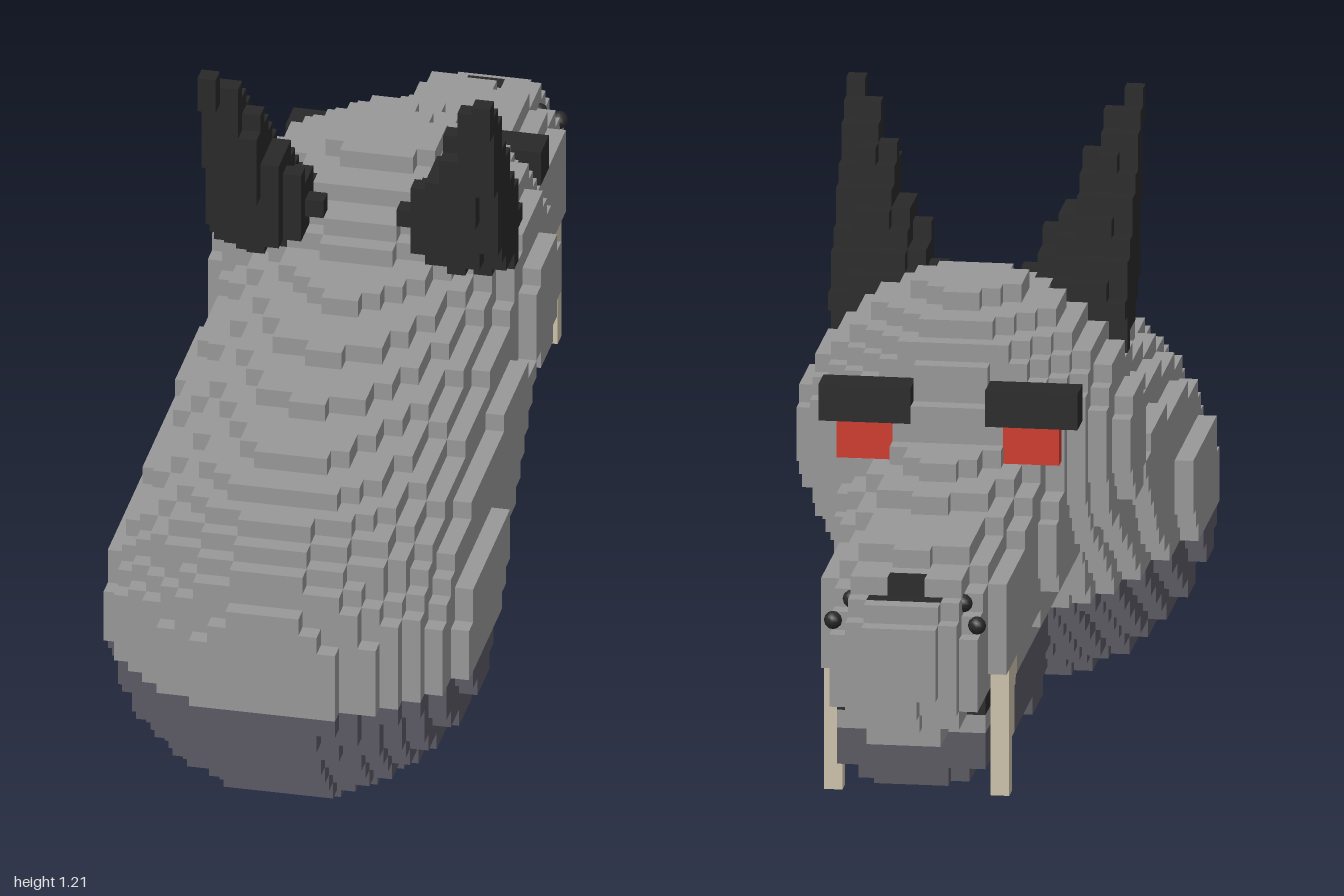
import * as THREE from 'three';

const V = 1 / 29; // voxel size
const mat = (name, color) => Object.assign(new THREE.MeshStandardMaterial({ color }), { name });

// Snout outline: z, bottom, top, half width
const SNOUT = [
  [-0.034, 0.29, 0.60, 0.185], [-0.20, 0.30, 0.69, 0.20], [-0.25, 0.30, 0.70, 0.21],
  [-0.35, 0.30, 0.70, 0.20], [-0.39, 0.30, 0.69, 0.185], [-0.55, 0.30, 0.66, 0.183],
  [-0.57, 0.30, 0.64, 0.182], [-0.79, 0.30, 0.62, 0.18], [-0.81, 0.27, 0.61, 0.15],
  [-0.89, 0.27, 0.592, 0.146], [-0.90, 0.27, 0.566, 0.146], [-0.95, 0.32, 0.555, 0.112],
  [-1.00, 0.37, 0.50, 0.072],
];

// Lower jaw outline in the same order
const JAW = [
  [0.00, 0.18, 0.31, 0.15], [-0.034, 0.16, 0.32, 0.15], [-0.036, 0.14, 0.38, 0.152],
  [-0.10, 0.09, 0.38, 0.152], [-0.20, 0.09, 0.38, 0.152], [-0.21, 0.13, 0.38, 0.152],
  [-0.55, 0.13, 0.38, 0.152], [-0.57, 0.165, 0.38, 0.152], [-0.79, 0.165, 0.38, 0.148],
  [-0.83, 0.20, 0.37, 0.14],
];

// Inside a row of rounded cross-sections
function inSections(rows, x, y, z) {
  for (let i = 0; i < rows.length - 1; i++) {
    const a = rows[i], b = rows[i + 1];
    if (z > a[0] || z < b[0]) continue;
    const t = (z - a[0]) / (b[0] - a[0]);
    const [, lo, hi, w] = a.map((n, k) => n + (b[k] - n) * t);
    return Math.abs(x / w) ** 2.2 + Math.abs((2 * y - lo - hi) / (hi - lo)) ** 2.2 < 1;
  }
  return false;
}

// Thick rounded neck that tapers up to the skull
function inNeck(x, y, z) {
  if (z < 0) return false;
  const dy = 0.23, dz = -0.66;
  let t = ((y - 0.337) * dy + (z - 0.664) * dz) / (dy * dy + dz * dz);
  t = Math.min(1, Math.max(0, t));
  return Math.hypot(x, y - 0.337 - dy * t, z - 0.664 - dz * t) < 0.35 - 0.065 * t;
}

// Skull, leaning slightly forward
const inSkull = (x, y, z) =>
  Math.hypot(x / 0.312, (y - 0.63) / 0.3, (z + 0.03 + 0.13 * (y - 0.63)) / 0.315) < 1;

// Ear leaning outward and back, narrowing to a tip and to its root
function inEar(x, y, z) {
  const t = (y - 0.76) / 0.445;
  if (t < 0 || t > 1 || x > 0.276) return false;
  const r = Math.min(0.122 * (1 - t) + 0.018, 0.04 + t * 0.34);
  const cx = 0.165 + 0.1 * t + Math.max(0, 0.25 - t) * 0.2;
  return Math.hypot(x - cx, z - 0.09 - 0.2 * t) < r;
}

// Visible faces of all voxels belonging to one part
function voxelGeometry(grid, part) {
  const pos = [], nor = [], idx = [];
  for (const [key, name] of grid) {
    if (name !== part) continue;
    const c = key.split(',').map(Number);
    for (let axis = 0; axis < 3; axis++) for (const s of [-1, 1]) {
      const n = [0, 0, 0];
      n[axis] = s;
      if (grid.has(c.map((q, k) => q + n[k]).join())) continue;
      const u = (axis + 1) % 3, w = (axis + 2) % 3, base = pos.length / 3;
      for (const [a, b] of [[0, 0], [1, 0], [1, 1], [0, 1]]) {
        const p = [...c];
        p[axis] += s > 0 ? 1 : 0;
        p[u] += a;
        p[w] += b;
        pos.push(...p.map((q) => q * V));
        nor.push(...n);
      }
      const f = s > 0 ? [0, 1, 2, 0, 2, 3] : [0, 2, 1, 0, 3, 2];
      idx.push(...f.map((q) => q + base));
    }
  }
  const g = new THREE.BufferGeometry();
  g.setAttribute('position', new THREE.Float32BufferAttribute(pos, 3));
  g.setAttribute('normal', new THREE.Float32BufferAttribute(nor, 3));
  g.setIndex(idx);
  return g;
}

export function createModel() {
  const group = new THREE.Group();
  group.name = 'wolfHead';
  const fur = mat('greyFur', 0x989898), under = mat('darkUnderside', 0x5b5962);
  const black = mat('black', 0x292929), red = mat('eyeRed', 0xcf3a2c);
  const bone = mat('bone', 0xcdc2ab), pale = mat('paleTooth', 0xcfcaba);

  // Fill one half of the grid and mirror it
  const grid = new Map();
  const set = (i, j, k, part) => {
    grid.set([i, j, k].join(), part);
    grid.set([-1 - i, j, k].join(), part);
  };
  for (let i = 0; i < 10; i++) for (let j = 0; j < 35; j++) for (let k = -29; k < 29; k++) {
    const p = [i, j, k].map((q) => (q + 0.5) * V);
    if (inNeck(...p) || inSkull(...p) || inSections(SNOUT, ...p) || inSections(JAW, ...p)) {
      set(i, j, k, j < 8 ? 'underside' : 'upperCoat');
    } else if (inEar(...p)) set(i, j, k, 'ears');
  }

  // Dark line between the jaws
  for (let k = -24; k <= -8; k++) set(3, 9, k, 'mouthLine');

  // Nose patch on the top of the snout tip
  for (const [i, k] of [[0, -27], [1, -27], [0, -26]]) {
    let j = 20;
    while (j > 10 && !grid.has([i, j, k].join())) j--;
    set(i, j, k, 'nose');
  }

  // Long fangs, stepped to a point
  for (let j = 4; j <= 10; j++) {
    const last = j < 7 ? -22 : j < 10 ? -21 : -20;
    for (let k = -22; k <= last; k++) set(4, j, k, 'fangs');
  }

  const parts = { upperCoat: fur, underside: under, ears: black, mouthLine: black, nose: black, fangs: bone };
  for (const [name, material] of Object.entries(parts)) {
    const mesh = new THREE.Mesh(voxelGeometry(grid, name), material);
    mesh.name = name;
    group.add(mesh);
  }

  const add = (name, geometry, material, x, y, z) => {
    const mesh = new THREE.Mesh(geometry, material);
    mesh.name = name;
    mesh.position.set(x, y, z);
    group.add(mesh);
    return mesh;
  };
  const brow = new THREE.BoxGeometry(0.172, 0.069, 0.069);
  const eye = new THREE.BoxGeometry(0.104, 0.069, 0.035);
  const nostril = new THREE.SphereGeometry(0.017, 8, 6);
  const tooth = new THREE.ExtrudeGeometry(new THREE.Shape([
    new THREE.Vector2(-0.018, 0.034), new THREE.Vector2(-0.01, 0),
    new THREE.Vector2(0.01, 0), new THREE.Vector2(0.018, 0.034),
  ]), { depth: 0.008, bevelEnabled: false });

  for (const [side, s] of [['left', 1], ['right', -1]]) {
    add(side + 'Brow', brow, black, s * 0.155, 0.759, -0.31);
    add(side + 'Eye', eye, red, s * 0.155, 0.69, -0.3275);
    add(side + 'Nostril', nostril, black, s * 0.134, 0.505, -0.91);
    add(side + 'UpperNostril', nostril, black, s * 0.104, 0.537, -0.875);
    for (const z of [-0.497, -0.565]) {
      add(side + 'SmallTooth', tooth, pale, s * 0.138, 0.276, z).rotation.y = s * Math.PI / 2;
    }
  }
  return group;
}
